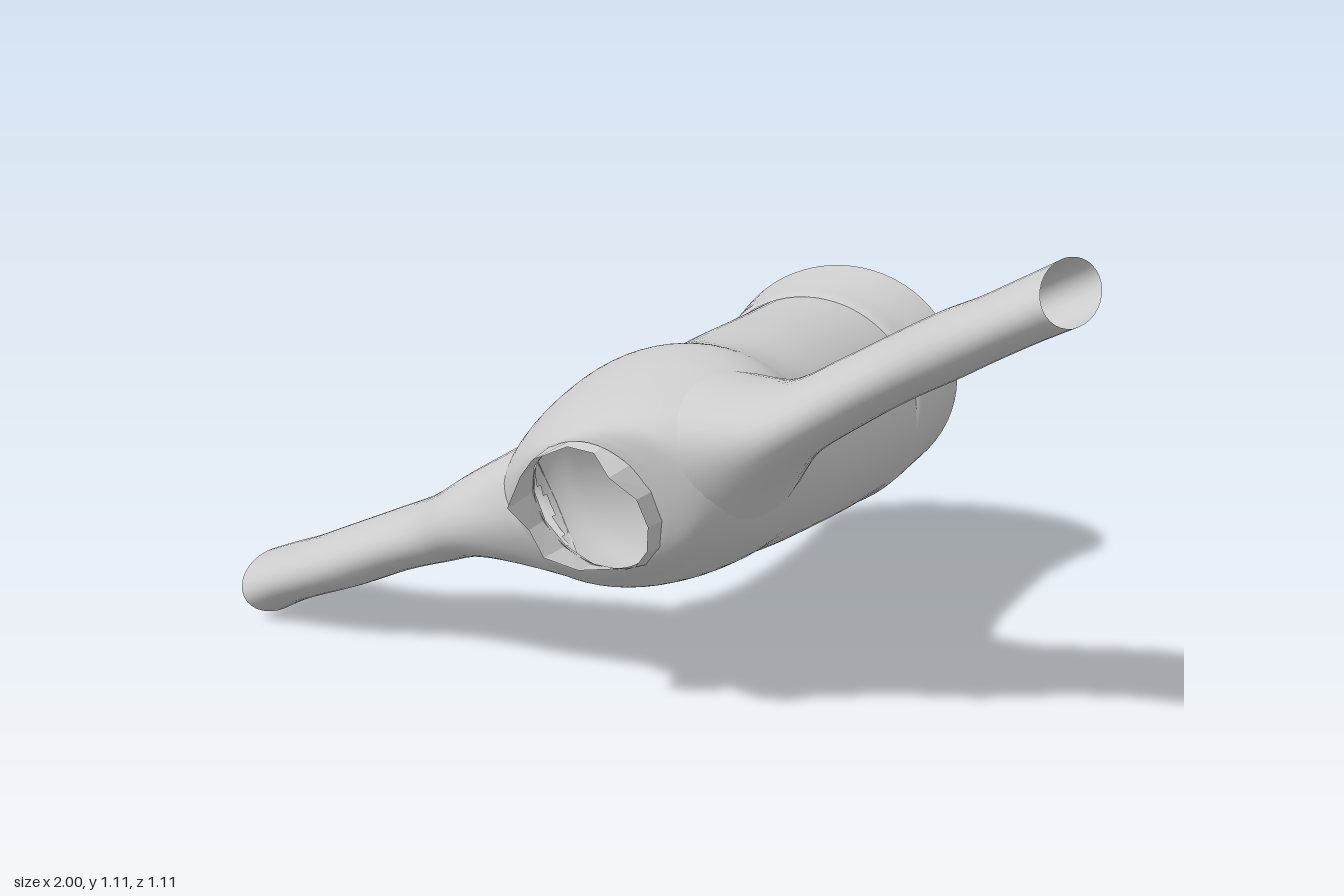
import * as THREE from 'three';

const cloth = new THREE.MeshStandardMaterial({ color: 0xcccccc, side: THREE.DoubleSide });
const stiff = new THREE.MeshStandardMaterial({ color: 0xcccccc, side: THREE.DoubleSide, flatShading: true });

// The garment is rolled about z: U runs across the chest, V from front to back
const U = [0.89, 0.455], V = [-0.455, 0.89];
const TAU = Math.PI * 2;

// Open surface through closed rings of points, smoothed along its length
function loft(name, rings, steps, material, keep = () => true) {
  const cols = rings[0].length, pos = [], index = [];
  const lines = rings[0].map((_, j) =>
    new THREE.CatmullRomCurve3(rings.map((r) => r[j])).getPoints(steps));
  for (let i = 0; i <= steps; i++)
    for (let j = 0; j < cols; j++) pos.push(...lines[j][i].toArray());
  const mid = new THREE.Vector3();
  for (let i = 0; i < steps; i++)
    for (let j = 0; j < cols; j++) {
      const k = (j + 1) % cols;
      mid.copy(lines[j][i]).add(lines[k][i + 1]).multiplyScalar(0.5);
      if (!keep(mid)) continue;
      const a = i * cols + j, b = i * cols + k, c = b + cols, d = a + cols;
      index.push(a, b, c, a, c, d);
    }
  const g = new THREE.BufferGeometry();
  g.setAttribute('position', new THREE.Float32BufferAttribute(pos, 3));
  g.setIndex(index);
  g.computeVertexNormals();
  const mesh = new THREE.Mesh(g, material);
  mesh.name = name;
  return mesh;
}

// Torso sections: z, centre x, centre y, half width, half depth
const torso = [
  [-0.43, 0.038, 0.464, 0.28, 0.248],
  [-0.3, 0.04, 0.468, 0.28, 0.247],
  [-0.15, 0.042, 0.477, 0.283, 0.244],
  [0.0, 0.04, 0.485, 0.297, 0.239],
  [0.09, 0.033, 0.495, 0.32, 0.24],
  [0.16, 0.024, 0.503, 0.348, 0.248],
  [0.25, 0.024, 0.505, 0.358, 0.238],
  [0.33, 0.024, 0.504, 0.345, 0.217],
  [0.39, 0.022, 0.502, 0.315, 0.19],
  [0.43, 0.02, 0.5, 0.26, 0.168],
  [0.449, 0.018, 0.5, 0.185, 0.154],
  [0.455, 0.016, 0.5, 0.152, 0.146],
];

// Lean of the neck end back with height
const leanAt = (z, y) => 0.22 * THREE.MathUtils.smoothstep(z, 0.28, 0.455) * (y - 0.5);

function sectionPoint([z, cx, cy, a, b], t) {
  const u = a * Math.cos(t), v = b * Math.sin(t);
  const y = cy + u * U[1] + v * V[1];
  return new THREE.Vector3(cx + u * U[0] + v * V[0], y, z + leanAt(z, y));
}

function sectionAt(z) {
  let i = 0;
  while (i < torso.length - 2 && torso[i + 1][0] < z) i++;
  const f = (z - torso[i][0]) / (torso[i + 1][0] - torso[i][0]);
  return torso[i].map((n, k) => n + (torso[i + 1][k] - n) * f);
}

const ring = (s, n) => Array.from({ length: n }, (_, j) => sectionPoint(s, (j / n) * TAU));

// Sleeve sections: x, y, z, half thickness, half width along z
const sleeves = {
  leftSleeve: [
    [0.405, 0.712, 0.314, 0.08, 0.146],
    [0.53, 0.795, 0.292, 0.068, 0.131],
    [0.63, 0.86, 0.286, 0.066, 0.124],
    [0.74, 0.928, 0.308, 0.066, 0.114],
    [0.82, 0.975, 0.32, 0.062, 0.11],
    [0.9, 1.022, 0.307, 0.062, 0.12],
    [0.967, 1.059, 0.284, 0.064, 0.128],
  ],
  rightSleeve: [
    [-0.37, 0.352, 0.298, 0.092, 0.141],
    [-0.485, 0.292, 0.283, 0.074, 0.128],
    [-0.6, 0.24, 0.283, 0.068, 0.122],
    [-0.725, 0.182, 0.31, 0.067, 0.115],
    [-0.82, 0.138, 0.308, 0.064, 0.118],
    [-0.9, 0.1, 0.292, 0.065, 0.125],
    [-0.971, 0.063, 0.288, 0.069, 0.123],
  ],
};
const ARM = { z: 0.296, v: 0.155, w: 0.142 };

function sleeve(name, rows, side) {
  const n = 32;
  // Armhole ring lying on the torso
  const root = Array.from({ length: n }, (_, j) => {
    const t = (j / n) * TAU;
    const s = sectionAt(ARM.z + ARM.w * Math.cos(t));
    const a = Math.asin((ARM.v * Math.sin(t)) / s[4]);
    return sectionPoint(s, side > 0 ? a : Math.PI - a);
  });
  const rings = rows.map(([x, y, z, h, w]) => Array.from({ length: n }, (_, j) => {
    const t = (j / n) * TAU, v = h * Math.sin(t);
    return new THREE.Vector3(x + v * V[0], y + v * V[1], z + w * Math.cos(t));
  }));
  const all = [root, ...rings];
  return loft(name, side > 0 ? all.map((r) => r.reverse()) : all, 42, cloth);
}

// Leaves the armholes open
function outsideArmholes(p) {
  const dx = p.x - 0.024, dy = p.y - 0.503, z = p.z - leanAt(p.z, p.y);
  const u = dx * U[0] + dy * U[1], v = dx * V[0] + dy * V[1];
  return Math.abs(u) < 0.12 || Math.hypot(v / ARM.v, (z - ARM.z) / ARM.w) > 0.86;
}

export function createModel() {
  const model = new THREE.Group();
  model.name = 'shirt';

  model.add(loft('torso', torso.map((s) => ring(s, 64)), 88, cloth, outsideArmholes));
  for (const [name, rows] of Object.entries(sleeves))
    model.add(sleeve(name, rows, Math.sign(rows[0][0])));

  // Flared hem band closing onto the torso, its edge slightly slanted
  const hem = [
    [-0.548, 0.035, 0.49, 0.317, 0.26],
    [-0.5, 0.036, 0.481, 0.303, 0.259],
    [-0.45, 0.037, 0.471, 0.292, 0.257],
    [-0.412, 0.038, 0.467, 0.287, 0.254],
    [-0.402, 0.038, 0.465, 0.281, 0.249],
  ];
  const hemRings = hem.map((s) => ring(s, 64));
  hemRings[0].forEach((p) => { p.z += 0.025 * (p.y - 0.49); });
  model.add(loft('hemBand', hemRings, 16, cloth));

  // Stiff faceted collar with an uneven front edge, listed around the neck
  const heights = [0.05, 0.055, 0.08, 0.035, 0.03, 0.075, 0.07, 0.11, 0.07, 0.09, 0.06, 0.01, 0.035, 0.045];
  const n = heights.length;
  const collarRing = (r, lift) => heights.map((h, j) => {
    const t = (j / n) * TAU;
    const y = 0.497 + r * 0.96 * Math.sin(t);
    return new THREE.Vector3(0.018 + r * Math.cos(t), y, 0.446 + 0.22 * (y - 0.5) + h * lift);
  });
  model.add(loft('collar', [collarRing(0.158, 0), collarRing(0.15, 1)], 1, stiff));

  return model;
}
